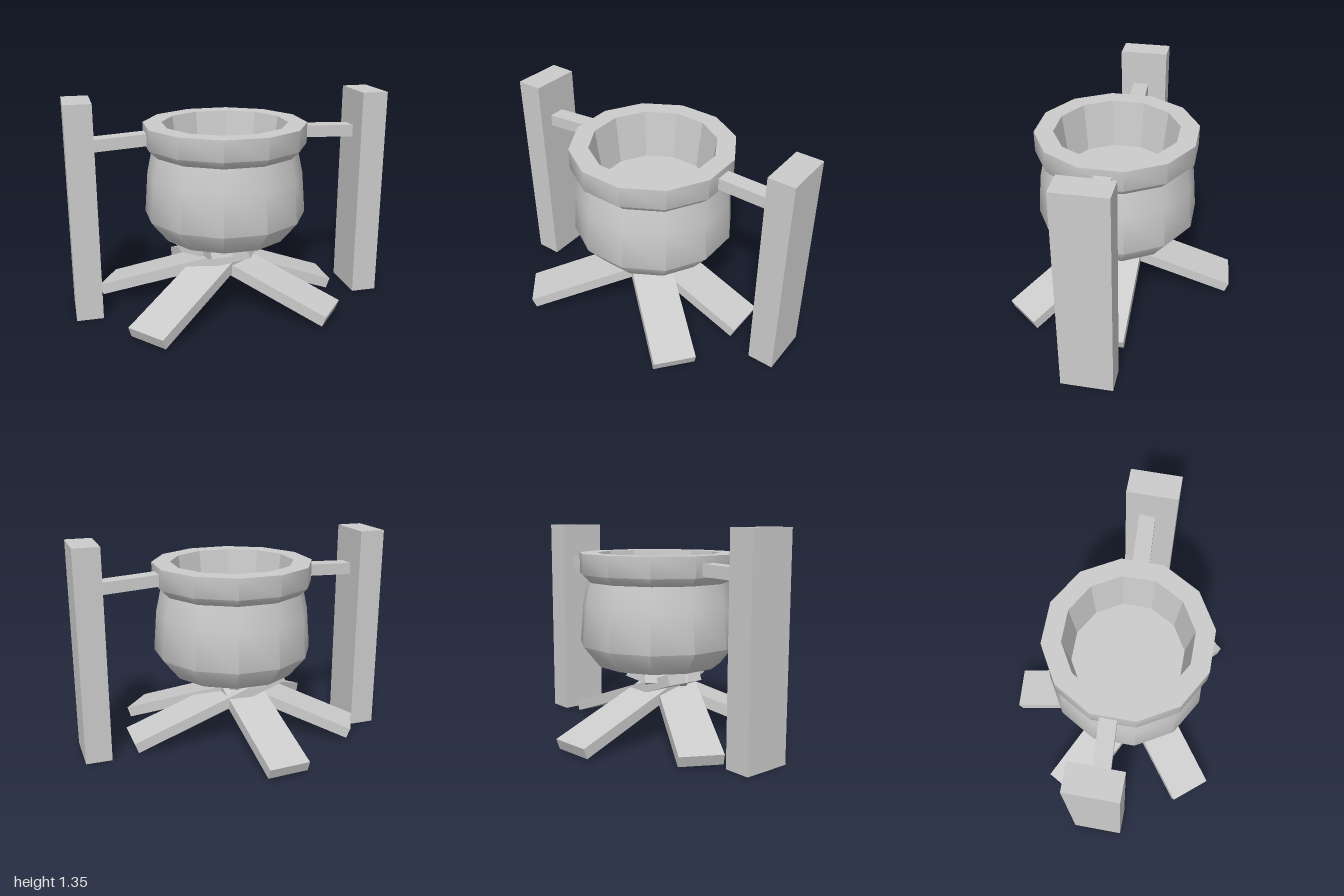
import * as THREE from 'three';
import { toCreasedNormals } from 'three/addons/utils/BufferGeometryUtils.js';

const SIDES = 12;

// Twelve-sided lathe with flats facing the axes; profile is [distance to flat, y]
function facetedLathe(profile, crease) {
  const k = 1 / Math.cos(Math.PI / SIDES);
  const points = profile.map(([r, y]) => new THREE.Vector2(r * k, y));
  return toCreasedNormals(new THREE.LatheGeometry(points, SIDES, Math.PI / SIDES), crease);
}

export function createModel() {
  const model = new THREE.Group();
  const material = new THREE.MeshStandardMaterial({ color: 0xcccccc });

  function add(name, geometry, parent = model) {
    const mesh = new THREE.Mesh(geometry, material);
    mesh.name = name;
    parent.add(mesh);
    return mesh;
  }

  // Pot: smooth outside with a sharp lip, faceted inside
  const pot = new THREE.Group();
  pot.name = 'pot';
  pot.position.set(-0.02, 0, 0.05);
  model.add(pot);
  add('potOutside', facetedLathe([
    [0, 0.465], [0.39, 0.465], [0.495, 0.6], [0.475, 0.86],
    [0.445, 1.0], [0.495, 1.05], [0.495, 1.18], [0.38, 1.18],
  ], 0.87), pot);
  add('potInside', facetedLathe([[0.38, 1.18], [0.342, 0.87], [0, 0.87]], 0.1), pot);

  // Upright posts
  for (const [name, x, z, depth] of [
    ['rightPost', -0.9175, 0.0225, 0.315],
    ['leftPost', 0.9175, 0.04, 0.32],
  ]) {
    add(name, new THREE.BoxGeometry(0.165, 1.35, depth)).position.set(x, 0.675, z);
  }

  // Arms joining the posts to the pot rim
  for (const [name, from, to] of [
    ['rightArm', [-0.85, 1.082, 0.042], [-0.46, 1.1, 0.018]],
    ['leftArm', [0.85, 1.082, 0.016], [0.43, 1.104, 0.04]],
  ]) {
    const a = new THREE.Vector3(...from);
    const b = new THREE.Vector3(...to);
    const arm = add(name, new THREE.BoxGeometry(0.104, 0.075, a.distanceTo(b)));
    arm.position.copy(a).add(b).multiplyScalar(0.5);
    arm.lookAt(b);
  }

  // Firewood planks: outer end position and inward direction, all leaning alike
  const tilt = Math.atan(0.365);
  for (const [x, z, dx, dz] of [
    [-0.118, -0.71, 0.075, 0.997],
    [-0.765, -0.255, 0.87, 0.49],
    [-0.635, 0.608, 0.77, -0.64],
    [0.533, 0.575, -0.77, -0.64],
    [0.69, 0.0125, -1, 0],
  ]) {
    const log = new THREE.Group();
    log.name = 'firewood';
    log.position.set(x, 0, z);
    log.rotation.y = Math.atan2(-dz, dx);
    model.add(log);
    const plank = add('plank', new THREE.BoxGeometry(1.064, 0.07, 0.265), log);
    plank.position.set(0.512, 0.235, 0);
    plank.rotation.z = tilt;
  }

  return model;
}
